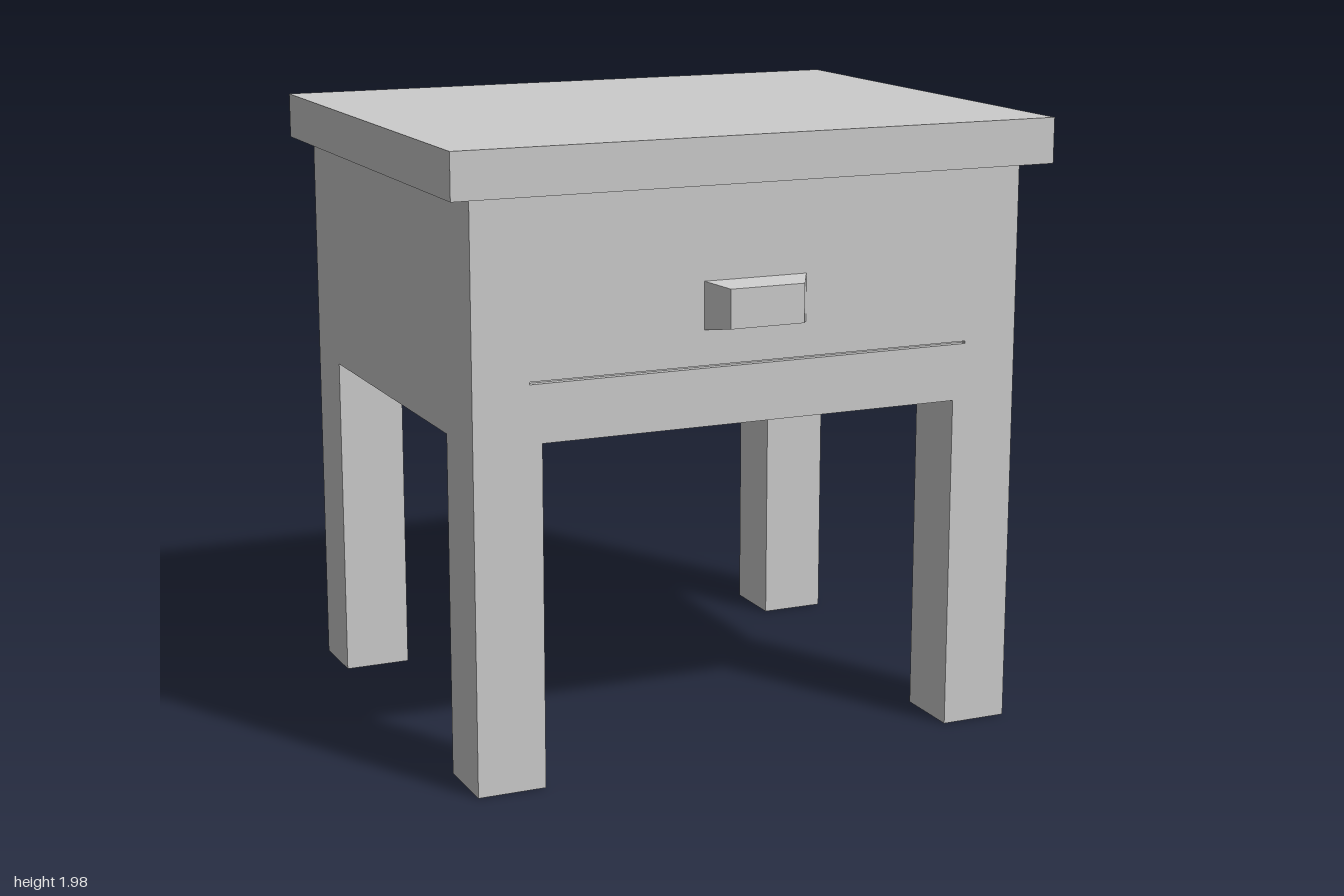
import * as THREE from 'three';

const material = new THREE.MeshStandardMaterial({ color: 0xcccccc, flatShading: true });

// Box given by its minimum and maximum corners
function box(name, [x0, y0, z0], [x1, y1, z1]) {
  const geometry = new THREE.BoxGeometry(x1 - x0, y1 - y0, z1 - z0);
  geometry.translate((x0 + x1) / 2, (y0 + y1) / 2, (z0 + z1) / 2);
  const mesh = new THREE.Mesh(geometry, material);
  mesh.name = name;
  return mesh;
}

function rectangle(PathType, x, y0, y1) {
  return new PathType([[-x, y0], [x, y0], [x, y1], [-x, y1]].map(p => new THREE.Vector2(...p)));
}

export function createModel() {
  const group = new THREE.Group();
  group.name = 'nightstand';
  const bodyX = 0.92, bottom = 1.085, top = 1.835, back = -0.815, front = 0.73, slitDepth = 0.02;

  // Table top, flush with the back and overhanging the other sides
  group.add(box('tableTop', [-1, top, back], [1, 1.98, 0.8]));

  // Cabinet body
  group.add(box('body', [-bodyX, bottom, back], [bodyX, top, front - slitDepth]));

  // Front panel with the narrow slit under the drawer
  const panel = rectangle(THREE.Shape, bodyX, bottom, top);
  panel.holes.push(rectangle(THREE.Path, 0.74, 1.267, 1.275));
  const frontPanel = new THREE.Mesh(
    new THREE.ExtrudeGeometry(panel, { depth: slitDepth, bevelEnabled: false }), material);
  frontPanel.position.z = front - slitDepth;
  frontPanel.name = 'frontPanel';
  group.add(frontPanel);

  // Four square legs
  for (const [side, x0, x1] of [['Left', 0.7, bodyX], ['Right', -bodyX, -0.7]]) {
    group.add(box('front' + side + 'Leg', [x0, 0, 0.5], [x1, bottom, front]));
    group.add(box('back' + side + 'Leg', [x0, 0, back], [x1, bottom, -0.59]));
  }

  // Drawer handle: a block tapering towards the front
  const handle = box('drawerHandle', [-0.172, -0.075, front], [0.172, 0.075, 0.815]);
  const p = handle.geometry.attributes.position;
  for (let i = 0; i < p.count; i++) {
    if (p.getZ(i) > 0.8) p.setXY(i, p.getX(i) * 0.72, p.getY(i) * 0.82);
  }
  handle.geometry.computeVertexNormals();
  handle.position.y = 1.46;
  group.add(handle);

  return group;
}
